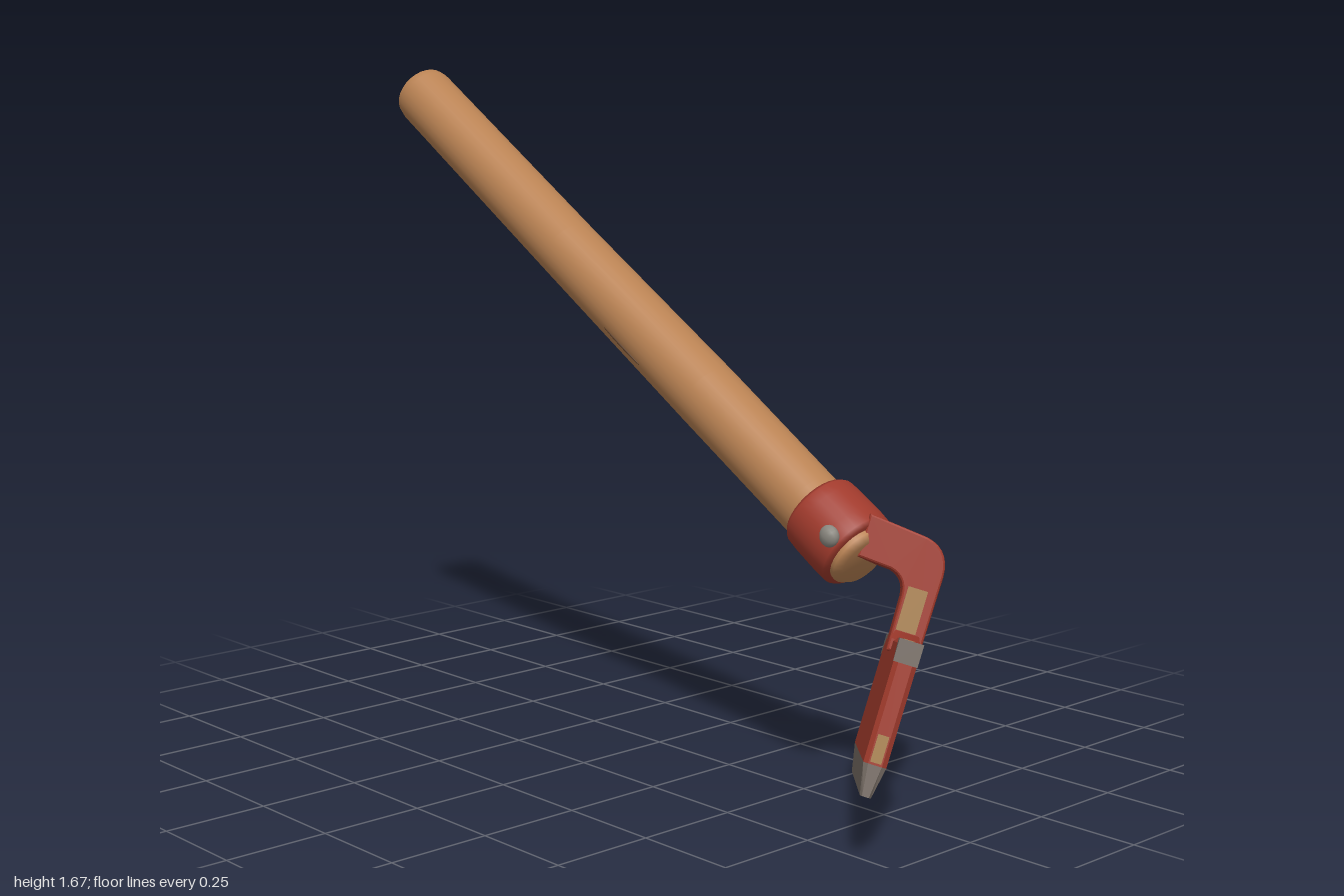
import * as THREE from 'three';

const mat = (name, color) => Object.assign(new THREE.MeshStandardMaterial({ color }), { name });
const V = (x, y) => new THREE.Vector2(x, y);

export function createModel() {
  const wood = mat('wood', 0xb98253);
  const red = mat('red paint', 0xa03a2c);
  const steel = mat('bare steel', 0x766c64);
  const worn = mat('worn edge', 0xa9814f);
  const rivetGrey = mat('rivet grey', 0x8b8880);
  const crackBrown = mat('crack brown', 0x5f4028);

  const model = new THREE.Group();
  model.name = 'hoe';
  const add = (parent, name, geometry, material) => {
    const m = new THREE.Mesh(geometry, material);
    m.name = name;
    parent.add(m);
    return m;
  };

  // ---- Handle assembly: local y runs up the handle, origin at the collar
  const shaft = new THREE.Group();
  shaft.name = 'handleAssembly';
  shaft.position.set(0, 0.642, 0.595);
  shaft.quaternion.setFromUnitVectors(
    new THREE.Vector3(0, 1, 0), new THREE.Vector3(0, 0.536, -0.844).normalize());
  model.add(shaft);

  const handleProfile = [[0, -0.1], [0.062, -0.1], [0.076, -0.085], [0.081, 0.1], [0.083, 0.5],
    [0.08, 1.1], [0.079, 1.81], [0.075, 1.832], [0.066, 1.84], [0.066, 1.84], [0, 1.84]];
  const handleGeo = new THREE.LatheGeometry(handleProfile.map(p => V(...p)), 28);
  // slight hand-carved waviness
  const hp = handleGeo.attributes.position;
  for (let i = 0; i < hp.count; i++) {
    const y = hp.getY(i);
    hp.setX(i, hp.getX(i) + 0.003 * Math.sin(y * 5));
  }
  add(shaft, 'handle', handleGeo, wood);

  // dark cracks in the wood
  for (const [x, y, z, len] of [[0.081, 1.0, 0.012, 0.08], [0.075, 0.2, 0.03, 0.14], [-0.074, 0.75, -0.032, 0.16]]) {
    const crack = add(shaft, 'woodCrack', new THREE.SphereGeometry(1, 8, 6), crackBrown);
    crack.scale.set(0.004, len / 2, 0.004);
    crack.position.set(x, y, z);
  }

  // collar ring with rounded rims
  const collarProfile = [[0.07, -0.075], [0.09, -0.075], [0.098, -0.066], [0.1, -0.03], [0.099, 0.04],
    [0.097, 0.068], [0.091, 0.077], [0.07, 0.077]];
  const collar = add(shaft, 'collar', new THREE.LatheGeometry(collarProfile.map(p => V(...p)), 32), red);
  collar.position.x = 0.008;

  // rivet heads on both sides
  for (const [x, y, z] of [[0.095, 0.012, -0.048], [-0.083, -0.04, 0.038]]) {
    const rivet = add(shaft, 'rivet', new THREE.SphereGeometry(0.026, 14, 10), rivetGrey);
    rivet.scale.x = 0.7;
    rivet.position.set(x, y, z);
  }

  // ---- Blade frame: x along the blade, y up the blade, z out of its front
  const W = new THREE.Vector3(0.702, -0.234, -0.672).normalize();
  const U = new THREE.Vector3(0.325, 0.94, 0.075).normalize();
  const N = new THREE.Vector3().crossVectors(W, U).normalize();
  const frame = new THREE.Matrix4().makeBasis(W, U, N).setPosition(-0.005, 0.255, 0.745);
  const head = new THREE.Group();
  head.name = 'hoeHead';
  model.add(head);
  const addHead = (name, geometry, material) => add(head, name, geometry.applyMatrix4(frame), material);

  // slab with chamfered ends, half thickness t0 at height u0 and t1 at u1
  const a = 0.337, b = 0.169, T = 0.025;
  const slab = (u0, u1, t0, t1, inset = 0) => {
    const c = 0.009;
    const plan = new THREE.Shape([V(-a + c, -1), V(a - c, -1), V(a, -0.6), V(a, 0.6),
      V(a - c, 1), V(-a + c, 1), V(-a, 0.6), V(-a, -0.6)]);
    const g = new THREE.ExtrudeGeometry(plan, { depth: 1, bevelEnabled: false }).rotateX(-Math.PI / 2);
    const p = g.attributes.position;
    for (let i = 0; i < p.count; i++) {
      const k = p.getY(i);
      p.setXYZ(i, p.getX(i) * (1 - inset * k), u0 + (u1 - u0) * k, p.getZ(i) * (t0 + (t1 - t0) * k));
    }
    g.computeVertexNormals();
    return g;
  };
  addHead('cuttingEdge', slab(-b, -0.1, 0.012, T), steel);
  addHead('blade', slab(-0.1, b - 0.01, T, T), red);
  addHead('bladeTop', slab(b - 0.01, b, T, T - 0.007, 0.02), red);

  // bare metal on the upper corners, worn paint along the rims
  for (const s of [-1, 1]) {
    const x = s * (a + 0.001), y = b + 0.001, d = 0.05;
    const pts = [V(x, y), V(x - s * d, y), V(x, y - d)];
    const corner = new THREE.ExtrudeGeometry(new THREE.Shape(pts), { depth: 2 * T + 0.003, bevelEnabled: false });
    addHead('wornCorner', corner.translate(0, 0, -T - 0.0015), steel);
    addHead('wornTopRim', new THREE.BoxGeometry(0.09, 0.004, 0.022).translate(s * 0.235, b, -0.003), worn);
    addHead('wornEndRim', new THREE.BoxGeometry(0.004, 0.06, 0.024).translate(s * a, -0.065, 0), worn);
  }

  // neck: bent flat bar, drawn in side profile and extruded across its width
  const neckShape = new THREE.Shape();
  neckShape.moveTo(0.034, 0.14);
  neckShape.lineTo(0.036, 0.325);
  neckShape.quadraticCurveTo(0.034, 0.395, -0.035, 0.398);
  neckShape.lineTo(-0.15, 0.41);
  neckShape.lineTo(-0.15, 0.32);
  neckShape.lineTo(-0.075, 0.315);
  neckShape.quadraticCurveTo(-0.034, 0.305, -0.032, 0.26);
  neckShape.lineTo(-0.03, 0.14);
  const sideways = g => g.rotateY(-Math.PI / 2);
  const neckGeo = new THREE.ExtrudeGeometry(neckShape, {
    depth: 0.084, bevelEnabled: true, bevelSize: 0.005, bevelThickness: 0.008, bevelSegments: 2, curveSegments: 8
  });
  addHead('neck', sideways(neckGeo.translate(0, 0, -0.042)).translate(-0.012, 0, 0), red);
  addHead('neckFoot', new THREE.CylinderGeometry(0.052, 0.08, 0.03, 4, 1).rotateY(Math.PI / 4)
    .scale(1.15, 1, 0.62).translate(-0.012, b + 0.01, 0), red);

  // worn strips on both sides of the neck
  for (const s of [-1, 1]) {
    addHead('wornNeckSide', new THREE.BoxGeometry(0.004, 0.1, s < 0 ? 0.045 : 0.018)
      .translate(-0.012 + s * 0.05, 0.235, s < 0 ? -0.005 : -0.02), worn);
  }
  return model;
}
